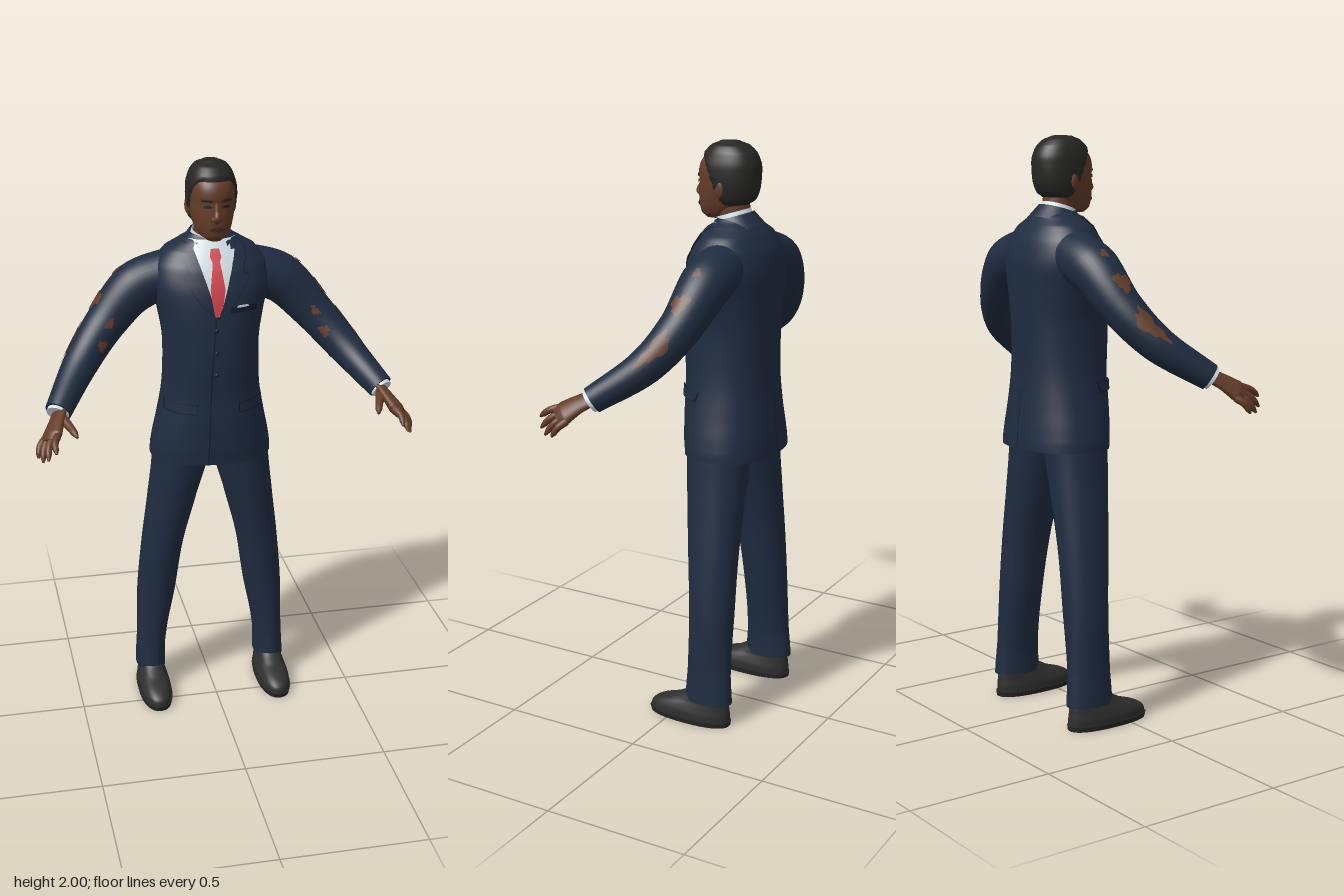
import * as THREE from 'three';

const paint = (name, color) => {
  const m = new THREE.MeshStandardMaterial({ color, side: THREE.DoubleSide });
  m.name = name;
  return m;
};
const V = (x, y, z) => new THREE.Vector3(x, y, z);
const { lerp, clamp, smoothstep } = THREE.MathUtils;

function geometry(points, index) {
  const g = new THREE.BufferGeometry().setFromPoints(points);
  g.setIndex(index);
  g.computeVertexNormals();
  return g;
}

// Skin a list of closed rings, with flat end caps
function loft(rings) {
  const n = rings[0].length, pts = rings.flat(), idx = [];
  for (let i = 0; i < rings.length - 1; i++) for (let j = 0; j < n; j++) {
    const a = i * n + j, b = i * n + (j + 1) % n;
    idx.push(a, b, b + n, a, b + n, a + n);
  }
  [rings[0], rings[rings.length - 1]].forEach((ring, end) => {
    const base = pts.length, mid = V(0, 0, 0);
    ring.forEach(p => { pts.push(p.clone()); mid.addScaledVector(p, 1 / n); });
    pts.push(mid);
    for (let j = 0; j < n; j++) {
      const a = base + j, b = base + (j + 1) % n;
      if (end) idx.push(a, b, base + n); else idx.push(b, a, base + n);
    }
  });
  return geometry(pts, idx);
}

// Smoothly read a table of [y, centreX, halfWidth, zFront, zBack] at height y
function section(table, y) {
  let k = 0;
  while (k < table.length - 2 && y > table[k + 1][0]) k++;
  const at = i => table[clamp(i, 0, table.length - 1)];
  const f = clamp((y - at(k)[0]) / (at(k + 1)[0] - at(k)[0]), 0, 1);
  return [1, 2, 3, 4].map(c => {
    const [a, b, d, e] = [at(k - 1)[c], at(k)[c], at(k + 1)[c], at(k + 2)[c]];
    return b + 0.5 * f * (d - a + f * (2 * a - 5 * b + 4 * d - e + f * (3 * (b - d) + e - a)));
  });
}
const pow = (v, p) => Math.sign(v) * Math.abs(v) ** p;

// Upright body of rounded sections; swell(point) grows or shrinks it locally
function body(table, p = 0.9, swell = () => 0, sides = 56, steps = 6) {
  const rings = [];
  for (let k = 0; k < table.length - 1; k++) for (let s = k ? 1 : 0; s <= steps; s++) {
    const y = lerp(table[k][0], table[k + 1][0], s / steps);
    const [cx, rx, zf, zb] = section(table, y), cz = (zf + zb) / 2, rz = (zf - zb) / 2;
    rings.push(Array.from({ length: sides }, (_, j) => {
      const a = j / sides * Math.PI * 2, sx = pow(Math.sin(a), p), sz = pow(Math.cos(a), p);
      const d = swell(V(cx + rx * sx, y, cz + rz * sz));
      return V(cx + (rx + d) * sx, y + d * smoothstep(y, 1.93, 1.99), cz + (rz + d) * sz);
    }));
  }
  return loft(rings);
}

// Thin plate hugging a body; rows are [y, xLeft, xRight]
function plate(table, p, rows, lift, face = 1) {
  const nx = 8, ny = 6, pts = [], idx = [];
  for (let k = 0; k < rows.length - 1; k++) for (let s = k ? 1 : 0; s <= ny; s++) {
    const [y, l, r] = [0, 1, 2].map(c => lerp(rows[k][c], rows[k + 1][c], s / ny));
    const [cx, rx, zf, zb] = section(table, y);
    for (let i = 0; i <= nx; i++) {
      const x = lerp(l, r, i / nx), sn = Math.min(1, Math.abs(x - cx) / rx) ** (1 / p);
      pts.push(V(x, y, (zf + zb) / 2 + face * ((zf - zb) / 2 * Math.sqrt(1 - sn * sn) ** p + lift)));
    }
  }
  const w = nx + 1;
  for (let a = 0; a + w < pts.length; a++) if (a % w < nx) {
    const q = [a, a + 1, a + w + 1, a, a + w + 1, a + w];
    idx.push(...(face > 0 ? q : q.reverse()));
  }
  return geometry(pts, idx);
}

// Tapered limb along a curve; ref is its wide axis, flat thins the other one
function limb(pts, radii, ref = V(0, 0, 1), flat = 1) {
  const curve = new THREE.CatmullRomCurve3(pts);
  const at = (u, a, lift = 0) => {
    const t = curve.getTangent(u), n = t.clone().cross(ref).normalize(), b = n.clone().cross(t);
    const f = u * (radii.length - 1), k = Math.min(radii.length - 2, Math.floor(f));
    const r = lerp(radii[k], radii[k + 1], f - k) + lift;
    return curve.getPoint(u).addScaledVector(n, r * flat * Math.sin(a)).addScaledVector(b, r * Math.cos(a));
  };
  const make = (sides = 28, steps = 32) => loft(Array.from({ length: steps + 1 }, (_, i) =>
    Array.from({ length: sides }, (_, j) => at(i / steps, j / sides * Math.PI * 2))));
  return { at, make };
}

// Ragged patch on a limb, centred at (u, a)
function patch(arm, u, a, du, da) {
  const n = 28, rows = 5, pts = [], idx = [];
  for (let i = 0; i <= rows; i++) for (let j = 0; j < n; j++) {
    const t = j / n * Math.PI * 2;
    const k = i / rows * (1 + 0.22 * Math.sin(3 * t + u * 20) + 0.15 * Math.sin(7 * t + a * 9));
    pts.push(arm.at(u + du * k * Math.cos(t), a + da * k * Math.sin(t), 0.003));
    if (i < rows) {
      const p = i * n + j, q = i * n + (j + 1) % n;
      idx.push(p, p + n, q + n, p, q + n, q);
    }
  }
  return geometry(pts, idx);
}

function mirror(g) {
  const m = g.clone().scale(-1, 1, 1);
  if (m.index) m.setIndex(Array.from(m.index.array).reverse());
  m.computeVertexNormals();
  return m;
}

const TORSO = [[0.95, 0, 0.215, 0.03, -0.28], [1.0, 0, 0.21, 0.035, -0.277], [1.1, 0, 0.19, 0.04, -0.268],
  [1.2, 0, 0.172, 0.04, -0.262], [1.3, 0, 0.166, 0.046, -0.262], [1.4, 0, 0.168, 0.048, -0.265],
  [1.5, 0, 0.185, 0.043, -0.268], [1.58, 0, 0.203, 0.03, -0.268], [1.65, 0, 0.193, 0.005, -0.252],
  [1.7, 0, 0.155, -0.025, -0.225], [1.73, 0, 0.105, -0.045, -0.2], [1.75, 0, 0.075, -0.062, -0.18]];
const HEAD = [[1.745, 0, 0.026, -0.008, -0.09], [1.76, 0, 0.047, 0.006, -0.115], [1.785, 0, 0.061, 0.012, -0.15],
  [1.81, 0, 0.069, 0.014, -0.175], [1.84, 0, 0.075, 0.014, -0.188], [1.87, 0, 0.077, 0.012, -0.193],
  [1.9, 0, 0.077, 0.014, -0.195], [1.93, 0, 0.074, 0.006, -0.193], [1.96, 0, 0.063, -0.016, -0.178],
  [1.98, 0, 0.046, -0.04, -0.152], [1.992, 0, 0.02, -0.07, -0.12]];
const LEG = [[0.085, 0.226, 0.054, -0.055, -0.23], [0.2, 0.221, 0.053, -0.062, -0.222], [0.4, 0.2, 0.069, -0.06, -0.22],
  [0.6, 0.175, 0.075, -0.043, -0.22], [0.8, 0.137, 0.088, -0.02, -0.222], [0.95, 0.108, 0.1, -0.005, -0.225],
  [1.02, 0.1, 0.1, 0, -0.23]];
const SHOE = [[0.016, 0.225, 0.057, 0.086, -0.222], [0.04, 0.225, 0.057, 0.08, -0.222], [0.06, 0.225, 0.052, 0.05, -0.22],
  [0.08, 0.225, 0.046, -0.01, -0.218], [0.11, 0.225, 0.042, -0.06, -0.212]];
const SOLE = [[0, 0.225, 0.058, 0.086, -0.224], [0.017, 0.225, 0.061, 0.091, -0.226]];

export function createModel() {
  const suit = paint('navy suit', 0x1f2d41), seam = paint('dark seam', 0x141d2b);
  const skin = paint('brown skin', 0x643c28), lip = paint('dark lip', 0x4a2a20);
  const hair = paint('black hair', 0x272625), shoe = paint('charcoal shoe', 0x302f2f);
  const shirt = paint('white shirt', 0xd6e2e8), tie = paint('red tie', 0xd2454c);
  const man = new THREE.Group();
  const add = (name, g, mat) => {
    const m = new THREE.Mesh(g, mat);
    m.name = name;
    man.add(m);
    return m;
  };
  const pair = (name, g, mat) => { add(name + 'Left', g, mat); add(name + 'Right', mirror(g), mat); };
  const onTorso = (rows, lift, face) => plate(TORSO, 0.88, rows, lift, face);
  const onHead = (rows, lift) => plate(HEAD, 0.92, rows, lift);

  // Jacket, shirt front and tie
  add('jacket', body(TORSO, 0.88), suit);
  add('shirtFront', onTorso([[1.5, -0.012, 0.004], [1.74, -0.08, 0.08]], 0.004), shirt);
  add('tie', onTorso([[1.5, -0.014, -0.002], [1.53, -0.02, 0.013], [1.59, -0.027, 0.024],
    [1.675, -0.013, 0.012], [1.69, -0.02, 0.019], [1.715, -0.015, 0.014]], 0.009), tie);
  const lapel = e => [[1.49, 0.002 - e, 0.006 + e], [1.55, 0.02, 0.062 + e], [1.625, 0.043, 0.112 + e],
    [1.64, 0.048, 0.088 + e], [1.7, 0.066, 0.108 + e], [1.735, 0.078, 0.098]];
  pair('lapelEdge', onTorso(lapel(0.004), 0.004), seam);
  pair('lapel', onTorso(lapel(0), 0.008), suit);
  add('frontSeam', onTorso([[0.952, -0.036, -0.032], [1.3, -0.026, -0.022], [1.49, -0.012, -0.008]], 0.003), seam);
  add('backVent', onTorso([[0.952, -0.002, 0.002], [1.15, -0.002, 0.002]], 0.003, -1), seam);
  pair('pocketShadow', onTorso([[1.143, 0.072, 0.176], [1.18, 0.072, 0.172]], 0.003), seam);
  pair('pocketFlap', onTorso([[1.148, 0.075, 0.173], [1.18, 0.075, 0.17]], 0.008), suit);
  add('breastPocket', onTorso([[1.507, 0.04, 0.136], [1.528, 0.042, 0.14]], 0.005), seam);
  add('pocketSquare', onTorso([[1.526, 0.062, 0.106], [1.534, 0.066, 0.102]], 0.008), shirt);
  for (const y of [1.29, 1.37, 1.45]) {
    const b = add('button', new THREE.SphereGeometry(0.007, 12, 8), seam);
    b.scale.z = 0.5;
    b.position.set(-0.008, y, section(TORSO, y)[2] + 0.002);
  }

  // Neck and collars, lower at the front
  const collar = (name, r0, r1, h, y, mat, start, len) => {
    const m = add(name, new THREE.CylinderGeometry(r0, r1, h, 40, 1, true, start, len), mat);
    m.position.set(0, y, -0.117);
    m.rotation.x = 0.3;
    m.scale.z = 0.95;
  };
  collar('shirtCollar', 0.061, 0.073, 0.06, 1.737, shirt, 0, Math.PI * 2);
  collar('jacketCollar', 0.073, 0.1, 0.05, 1.728, suit, Math.PI * 0.3, Math.PI * 1.4);
  add('neck', limb([V(0, 1.68, -0.122), V(0, 1.74, -0.115), V(0, 1.83, -0.1)], [0.056, 0.054, 0.056]).make(), skin);

  // Head; the hair shell sinks under the skin below the hairline
  add('head', body(HEAD, 0.92), skin);
  const hairline = p => clamp((p.y - 1.795 - 0.15 * smoothstep(p.z, -0.11, -0.02)) * 0.6, -0.012, 0.008);
  add('hair', body(HEAD, 0.92, hairline), hair);
  add('nose', limb([V(0, 1.882, 0.006), V(0, 1.85, 0.014), V(0, 1.829, 0.02), V(0, 1.817, 0.008)],
    [0.007, 0.01, 0.014, 0.012], V(1, 0, 0), 0.9).make(), skin);
  pair('nostril', new THREE.SphereGeometry(0.009, 12, 8).translate(0.011, 1.825, 0.013), skin);
  pair('eyebrow', onHead([[1.883, 0.014, 0.05], [1.891, 0.018, 0.052]], 0.004), hair);
  pair('eye', onHead([[1.861, 0.022, 0.04], [1.866, 0.016, 0.045], [1.871, 0.023, 0.038]], 0.003), hair);
  add('lips', onHead([[1.782, -0.014, 0.014], [1.79, -0.027, 0.027], [1.799, -0.012, 0.012]], 0.005), lip);
  pair('ear', new THREE.SphereGeometry(0.03, 16, 12).scale(0.3, 1, 0.62).rotateY(-0.3).translate(0.078, 1.85, -0.095), skin);

  // Sleeves with worn patches, and cuffs
  const arm = limb([V(0.12, 1.61, -0.14), V(0.25, 1.565, -0.142), V(0.365, 1.447, -0.115), V(0.46, 1.335, -0.045),
    V(0.557, 1.225, 0.098)], [0.085, 0.086, 0.07, 0.06, 0.045]);
  pair('sleeve', arm.make(36, 40), suit);
  [[0.43, -1.6, 0.05, 0.38], [0.67, -1.95, 0.1, 0.38], [0.28, -1.7, 0.02, 0.15], [0.5, -0.1, 0.035, 0.16],
    [0.63, 0.25, 0.035, 0.25]].forEach(p => pair('sleevePatch', patch(arm, ...p), skin));
  pair('cuff', limb([V(0.545, 1.239, 0.08), V(0.555, 1.226, 0.097), V(0.56, 1.219, 0.106)], [0.038, 0.038, 0.038]).make(24, 4), shirt);

  // Hands
  const across = V(-0.52, 0.42, 0.75).normalize();
  pair('palm', limb([V(0.545, 1.238, 0.085), V(0.568, 1.208, 0.142), V(0.588, 1.178, 0.185), V(0.598, 1.163, 0.205)],
    [0.03, 0.036, 0.046, 0.034], across, 0.5).make(), skin);
  const tips = [V(0.585, 1.152, 0.282), V(0.61, 1.122, 0.263), V(0.626, 1.106, 0.237), V(0.638, 1.108, 0.203)];
  tips.forEach((tip, i) => {
    const base = V(0.592, 1.173, 0.188).addScaledVector(across, 0.035 - i * 0.023);
    const mid = base.clone().lerp(tip, 0.5).add(V(0.006, 0.006, 0));
    pair('finger', limb([base, mid, tip], [0.013, 0.013, 0.012, 0.011, 0.01, 0.004]).make(14, 15), skin);
  });
  pair('thumb', limb([V(0.55, 1.215, 0.13), V(0.526, 1.2, 0.19), V(0.511, 1.185, 0.235)],
    [0.019, 0.016, 0.013, 0.012, 0.005]).make(14, 16), skin);

  // Trousers and shoes
  pair('trouserLeg', body(LEG, 0.95), suit);
  pair('shoe', body(SHOE, 0.85), shoe);
  pair('sole', body(SOLE, 0.85, undefined, 56, 1), hair);
  return man;
}
